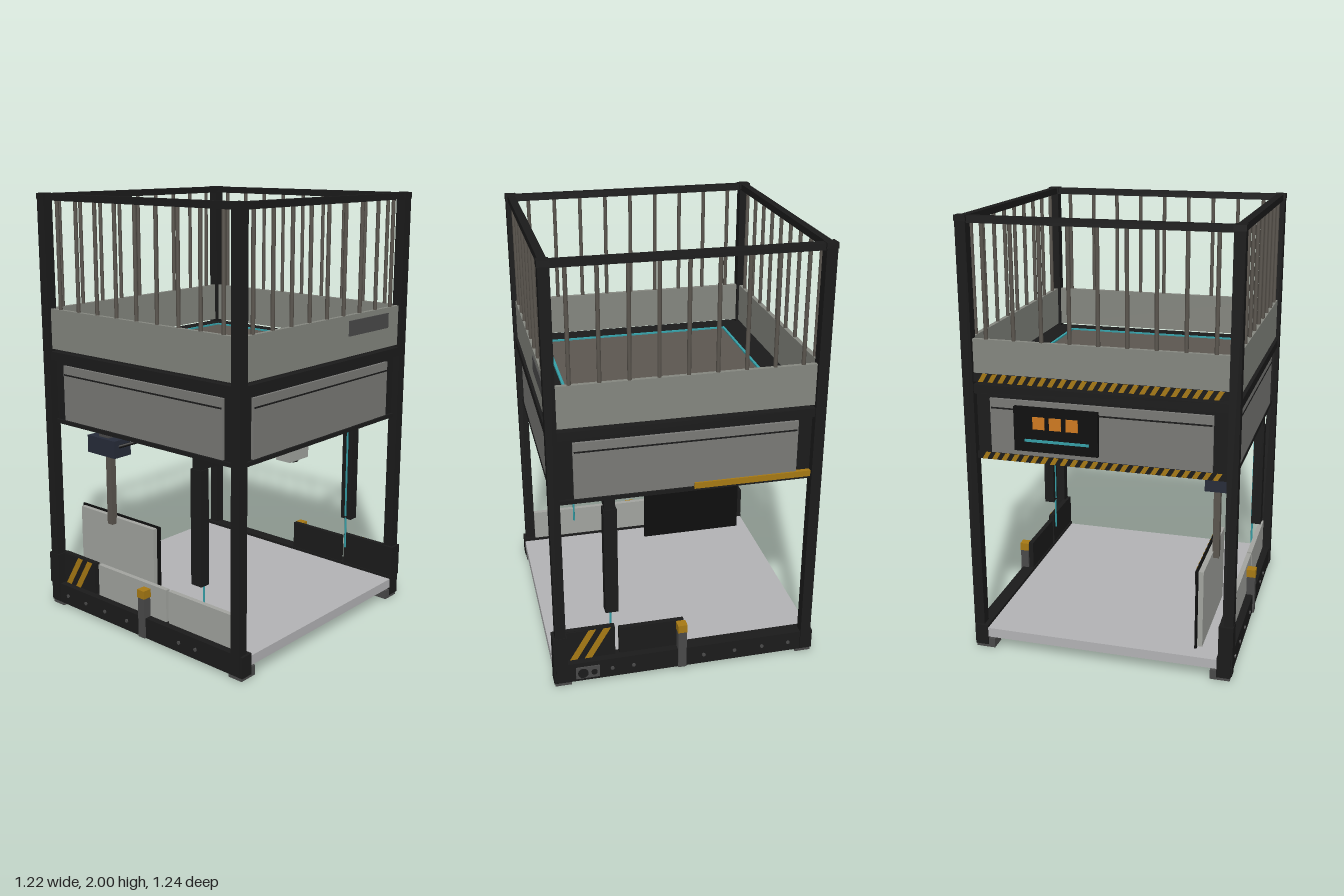
import * as THREE from 'three';

const mat = (color) => {
  const m = new THREE.MeshStandardMaterial();
  m.color.set(color);
  return m;
};
const M = {
  black: mat(0x1b1b1b), pitch: mat(0x0e0e0e), panel: mat(0x858780), body: mat(0x7a7a77),
  dark: mat(0x4a4a4a), bar: mat(0x5a554e), floor: mat(0x5c5751), slab: mat(0xb4b4b6),
  teal: mat(0x35a0a8), amber: mat(0xa87a14), orange: mat(0xd07a20), navy: mat(0x272c3a), light: mat(0xa3a5a0),
};

// Box given by its limits on each axis
function box(parent, name, m, x0, x1, y0, y1, z0, z1) {
  const mesh = new THREE.Mesh(new THREE.BoxGeometry(Math.abs(x1 - x0), y1 - y0, Math.abs(z1 - z0)), M[m]);
  mesh.position.set((x0 + x1) / 2, (y0 + y1) / 2, (z0 + z1) / 2);
  mesh.name = name;
  parent.add(mesh);
  return mesh;
}

function rod(parent, name, m, r, from, to, sides = 12) {
  const a = new THREE.Vector3(...from), d = new THREE.Vector3(...to).sub(a);
  const mesh = new THREE.Mesh(new THREE.CylinderGeometry(r, r, d.length(), sides), M[m]);
  mesh.position.copy(a).addScaledVector(d, 0.5);
  mesh.quaternion.setFromUnitVectors(new THREE.Vector3(0, 1, 0), d.normalize());
  mesh.name = name;
  parent.add(mesh);
}

// Black strip with slanted amber bars, facing +z, centred on its own origin
function hazardStrip(name, w, h, pitch) {
  const g = new THREE.Group();
  g.name = name;
  box(g, 'stripBacking', 'black', -w / 2, w / 2, -h / 2, h / 2, -0.004, 0);
  const lean = h * 0.6, count = Math.floor((w - lean) / pitch), shapes = [];
  const start = -(count * pitch - pitch / 2 + lean) / 2;
  for (let i = 0; i < count; i++) {
    const x = start + i * pitch, b = pitch / 2;
    shapes.push(new THREE.Shape([[x, -h / 2], [x + b, -h / 2], [x + b + lean, h / 2], [x + lean, h / 2]]
      .map((p) => new THREE.Vector2(...p))));
  }
  const bars = new THREE.Mesh(new THREE.ExtrudeGeometry(shapes, { depth: 0.002, bevelEnabled: false }), M.amber);
  bars.name = 'warningBars';
  g.add(bars);
  return g;
}

function place(parent, obj, x, y, z, turn) {
  obj.position.set(x, y, z);
  obj.rotation.y = turn;
  parent.add(obj);
}

// One side of the upper cage and housing, built facing +z
function cageSide(name) {
  const g = new THREE.Group();
  g.name = name;
  box(g, 'topRail', 'black', -0.56, 0.56, 1.968, 1.998, 0.565, 0.6);
  for (let i = -4; i <= 4; i++) rod(g, 'baluster', 'bar', 0.009, [i * 0.125, 1.47, 0.582], [i * 0.125, 1.97, 0.582], 10);
  box(g, 'kickPanel', 'panel', -0.56, 0.56, 1.287, 1.475, 0.572, 0.592);
  box(g, 'deckRail', 'black', -0.56, 0.56, 1.235, 1.275, 0.56, 0.602);
  box(g, 'bottomRail', 'black', -0.56, 0.56, 0.93, 0.948, 0.56, 0.585);
  box(g, 'housingPanel', 'body', -0.495, 0.495, 0.952, 1.213, 0.57, 0.584);
  box(g, 'panelSeam', 'black', -0.49, 0.49, 1.167, 1.174, 0.58, 0.586);
  return g;
}

export function createModel() {
  const root = new THREE.Group();
  root.name = 'caged lift station';
  const sides = [-1, 1];

  // Corner posts
  for (const sx of sides) for (const sz of sides) {
    box(root, 'cornerPost', 'black', sx * 0.56, sx * 0.608, 0.02, 1.985, sz * 0.56, sz * 0.608);
    box(root, 'postCap', 'black', sx * 0.558, sx * 0.61, 1.975, 2, sz * 0.558, sz * 0.61);
    box(root, 'foot', 'dark', sx * 0.51, sx * 0.6, 0, 0.045, sz * 0.54, sz * 0.615);
  }

  // Four sides of the cage
  ['frontSide', 'leftSide', 'backSide', 'rightSide'].forEach((n, i) => place(root, cageSide(n), 0, 0, 0, i * Math.PI / 2));
  box(root, 'frontPlate', 'dark', 0.155, 0.47, 1.38, 1.45, 0.59, 0.597);

  // Housing and deck
  box(root, 'housing', 'black', -0.572, 0.572, 0.935, 1.24, -0.572, 0.572);
  box(root, 'deckSurround', 'black', -0.57, 0.57, 1.24, 1.277, -0.57, 0.57);
  box(root, 'deckFloor', 'floor', -0.457, 0.457, 1.27, 1.282, -0.457, 0.457);
  for (const s of sides) {
    box(root, 'deckLight', 'teal', -0.467, 0.467, 1.272, 1.289, s * 0.455, s * 0.467);
    box(root, 'deckLight', 'teal', s * 0.455, s * 0.467, 1.272, 1.289, -0.455, 0.455);
  }

  // Back warning strips and control panel
  place(root, hazardStrip('upperWarningStrip', 1.12, 0.038, 0.045), 0, 1.306, -0.597, Math.PI);
  place(root, hazardStrip('lowerWarningStrip', 1.12, 0.032, 0.045), 0, 0.949, -0.59, Math.PI);
  const control = new THREE.Group();
  control.name = 'controlPanel';
  root.add(control);
  box(control, 'controlBox', 'pitch', 0, 0.38, 0.99, 1.19, -0.603, -0.58);
  for (let i = 0; i < 3; i++) {
    const x = 0.265 - i * 0.075;
    box(control, 'button', 'orange', x - 0.027, x + 0.027, 1.095, 1.15, -0.608, -0.6);
  }
  box(control, 'statusLight', 'teal', 0.04, 0.33, 1.035, 1.047, -0.607, -0.6);
  box(root, 'sideMarkerStrip', 'amber', 0.57, 0.592, 0.942, 0.97, -0.56, -0.03);

  // Base slab and side rails
  box(root, 'baseSlab', 'slab', -0.545, 0.545, 0.055, 0.1, -0.617, 0.617);
  for (const s of sides) {
    box(root, 'baseRail', 'black', s * 0.54, s * 0.602, 0.015, 0.113, -0.62, 0.62);
    for (const z of [0.35, 0.25, -0.085, -0.235, -0.37, -0.5]) rod(root, 'railBolt', 'dark', 0.009, [s * 0.6, 0.062, z], [s * 0.607, 0.062, z], 8);
  }
  box(root, 'connectorBox', 'dark', 0.6, 0.608, 0.03, 0.09, 0.41, 0.52);
  rod(root, 'connector', 'black', 0.024, [0.6, 0.06, 0.487], [0.613, 0.06, 0.487], 16);
  rod(root, 'connector', 'black', 0.014, [0.6, 0.06, 0.435], [0.613, 0.06, 0.435], 12);

  // Low guards: warning plates at opposite corners, infill panels and bollards
  for (const s of sides) {
    box(root, 'postSleeve', 'black', s * 0.545, s * 0.61, 0.11, 0.265, s * 0.555, s * 0.62);
    box(root, 'guardPlate', 'black', s * 0.545, s * 0.568, 0.11, 0.268, s * 0.33, s * 0.56);
    place(root, hazardStrip('guardWarning', 0.23, 0.15, 0.068), s * 0.573, 0.19, s * 0.445, s * Math.PI / 2);
    box(root, 'bollard', 'dark', s * 0.57, s * 0.61, 0.015, 0.21, 0, 0.04);
    box(root, 'bollardTop', 'amber', s * 0.568, s * 0.612, 0.208, 0.247, -0.002, 0.042);
  }
  box(root, 'leftInfill', 'black', 0.545, 0.568, 0.11, 0.25, 0.005, 0.31);
  box(root, 'rightInfill', 'light', -0.568, -0.545, 0.11, 0.268, 0.155, 0.56);
  box(root, 'rightInfill', 'light', -0.568, -0.545, 0.11, 0.268, -0.31, 0.14);

  // Vertical actuators, crossbar and sensor
  for (const s of sides) {
    box(root, 'actuator', 'black', s * 0.536, s * 0.585, 0.355, 0.88, 0.313, 0.373);
    box(root, 'actuatorCap', 'black', s * 0.536, s * 0.58, 0.88, 0.935, 0.32, 0.367);
    box(root, 'actuatorLight', 'teal', s * 0.531, s * 0.537, 0.37, 0.87, 0.339, 0.347);
    rod(root, 'actuatorRod', 'teal', 0.005, [s * 0.537, 0.2, 0.343], [s * 0.537, 0.36, 0.343], 8);
  }
  box(root, 'crossbar', 'black', -0.56, 0.56, 0.88, 0.916, 0.32, 0.365);
  box(root, 'sensorBox', 'light', -0.068, 0.068, 0.812, 0.905, 0.365, 0.445);
  rod(root, 'sensorLens', 'black', 0.032, [0, 0.8, 0.4], [0, 0.815, 0.4], 20);
  rod(root, 'sensorGlass', 'teal', 0.018, [0, 0.798, 0.4], [0, 0.802, 0.4], 16);

  // Hanging arm with drive head, underside track and cable
  box(root, 'track', 'dark', -0.48, 0.53, 0.923, 0.937, -0.355, -0.27);
  box(root, 'headMount', 'dark', -0.51, -0.45, 0.88, 0.925, -0.345, -0.28);
  box(root, 'driveHead', 'navy', -0.53, -0.428, 0.803, 0.886, -0.402, -0.218);
  box(root, 'arm', 'bar', -0.486, -0.456, 0.45, 0.81, -0.328, -0.294);
  const path = new THREE.CatmullRomCurve3([[-0.5, 0.855, -0.22], [-0.42, 0.885, -0.14], [-0.34, 0.917, -0.05], [-0.19, 0.922, 0.13]]
    .map((p) => new THREE.Vector3(...p)));
  const cable = new THREE.Mesh(new THREE.TubeGeometry(path, 24, 0.008, 8), M.pitch);
  cable.name = 'cable';
  root.add(cable);

  // Shield board carried by the arm
  box(root, 'shieldFace', 'pitch', -0.437, -0.427, 0.108, 0.488, -0.56, -0.03);
  box(root, 'shieldBack', 'light', -0.46, -0.437, 0.113, 0.48, -0.545, -0.045);
  place(root, hazardStrip('shieldWarning', 0.53, 0.06, 0.05), -0.424, 0.455, -0.295, Math.PI / 2);

  return root;
}
